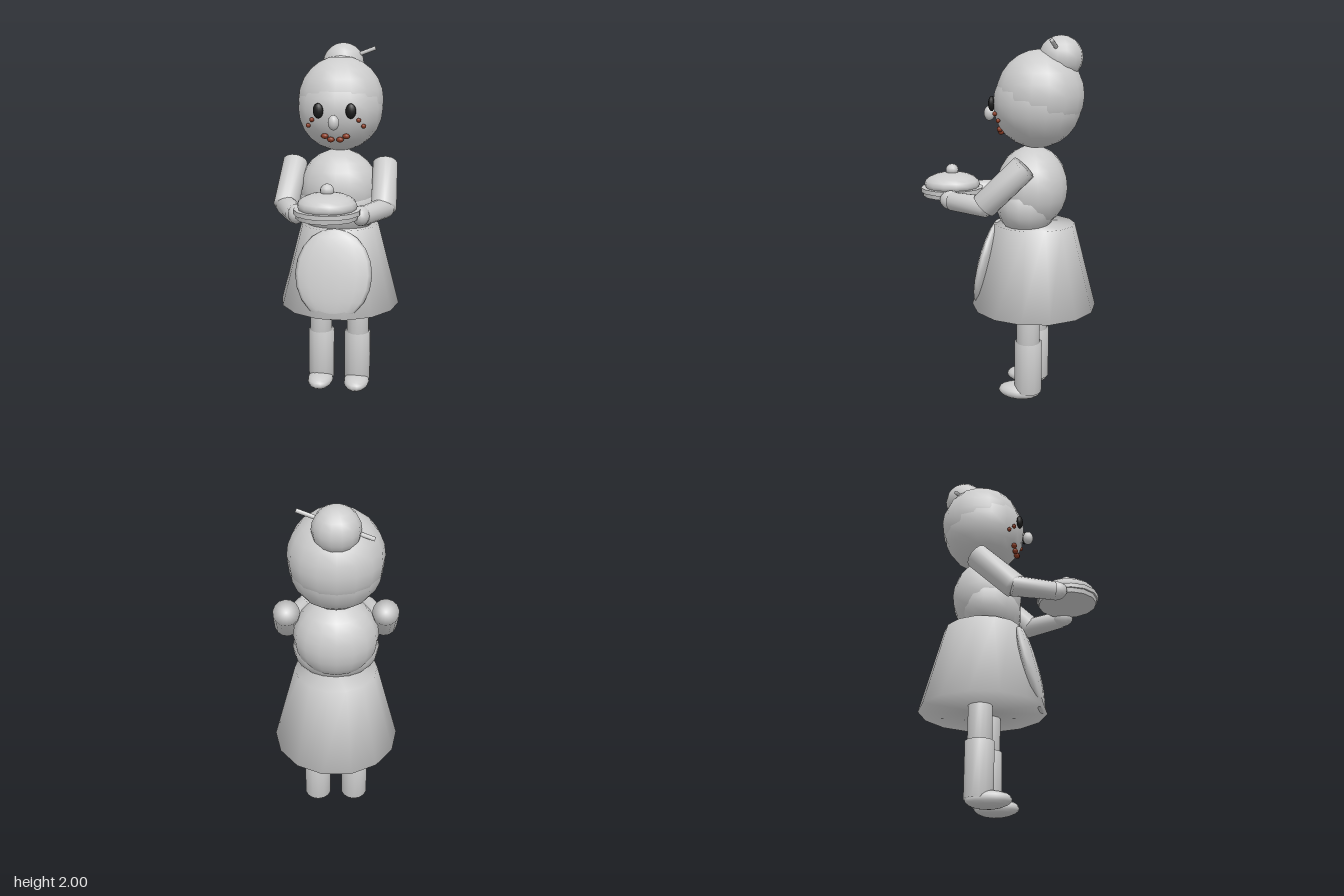
import * as THREE from 'three';
import { mergeVertices } from 'three/addons/utils/BufferGeometryUtils.js';

const material = (name, color) => {
  const m = new THREE.MeshStandardMaterial({ color });
  m.name = name;
  return m;
};

export function createModel() {
  const model = new THREE.Group();
  model.name = 'cookFigure';
  const clay = material('palegrey', 0xcccccc);
  const black = material('black', 0x1a1a1a);
  const brown = material('redBrown', 0x8a3a22);

  const add = (name, geometry, mat, position, parent = model) => {
    const mesh = new THREE.Mesh(geometry, mat);
    mesh.name = name;
    mesh.position.set(...position);
    parent.add(mesh);
    return mesh;
  };

  // Ellipsoid with the given radii
  const ball = (name, position, radii, mat = clay, w = 14, h = 10) => {
    const g = new THREE.SphereGeometry(1, w, h);
    g.scale(...radii);
    return add(name, g, mat, position);
  };

  // Capped cylinder whose shading runs softly over the rims
  const softCylinder = (rTop, rBottom, height, sides = 14) => {
    const g = new THREE.CylinderGeometry(rTop, rBottom, height, sides);
    g.deleteAttribute('uv');
    g.deleteAttribute('normal');
    const merged = mergeVertices(g);
    merged.computeVertexNormals();
    return merged;
  };

  // Cylinder running between two points
  const rod = (name, from, to, rFrom, rTo = rFrom, sides = 14) => {
    const a = new THREE.Vector3(...from), b = new THREE.Vector3(...to);
    const dir = b.clone().sub(a);
    const mid = a.clone().add(b).multiplyScalar(0.5);
    const mesh = add(name, softCylinder(rTo, rFrom, dir.length(), sides), clay, mid.toArray());
    mesh.quaternion.setFromUnitVectors(new THREE.Vector3(0, 1, 0), dir.normalize());
    return mesh;
  };

  // Head, hair cap, bun and hair stick
  ball('head', [0, 1.65, -0.165], [0.237, 0.237, 0.237], clay, 16, 12);
  ball('hair', [0, 1.692, -0.18], [0.239, 0.238, 0.236], clay, 16, 12);
  ball('hairBun', [0, 1.885, -0.287], [0.117, 0.115, 0.117]);
  rod('hairStick', [-0.175, 1.84, -0.302], [0.183, 1.97, -0.27], 0.011, 0.011, 8);

  // Face
  ball('nose', [0, 1.592, 0.097], [0.03, 0.04, 0.03]);
  for (const s of [1, -1]) {
    ball('eye', [s * 0.087, 1.65, 0.062], [0.028, 0.04, 0.018], black);
    ball('freckle', [s * 0.126, 1.6, 0.036], [0.013, 0.012, 0.012], brown, 8, 6);
    ball('freckle', [s * 0.15, 1.567, 0.012], [0.013, 0.012, 0.012], brown, 8, 6);
    ball('mouthBead', [s * 0.058, 1.513, 0.025], [0.02, 0.015, 0.016], brown, 10, 8);
    ball('mouthBead', [s * 0.025, 1.495, 0.026], [0.02, 0.015, 0.016], brown, 10, 8);
  }

  // Torso, skirt and apron
  ball('chest', [0, 1.2, -0.14], [0.225, 0.225, 0.195], clay, 16, 12);
  ball('belly', [0, 1.11, -0.115], [0.23, 0.18, 0.165], clay, 16, 12);
  const skirt = add('skirt', softCylinder(0.222, 0.345, 0.47), clay, [0, 0.765, -0.155]);
  skirt.rotation.y = Math.PI / 14;
  const apron = ball('apron', [0, 0.765, 0.103], [0.214, 0.252, 0.045]);
  apron.rotation.x = -0.23;

  // Legs and arms, mirrored
  for (const s of [1, -1]) {
    rod('leg', [s * 0.11, 0.3, -0.146], [s * 0.11, 0.58, -0.146], 0.065);
    rod('boot', [s * 0.108, 0.05, -0.147], [s * 0.108, 0.342, -0.147], 0.077);
    ball('shoe', [s * 0.108, 0.046, -0.098], [0.075, 0.046, 0.12]);
    rod('upperArm', [s * 0.255, 1.344, -0.148], [s * 0.267, 1.137, 0.06], 0.07);
    rod('forearm', [s * 0.272, 1.135, 0.045], [s * 0.178, 1.135, 0.26], 0.056, 0.05);
    ball('hand', [s * 0.168, 1.138, 0.268], [0.045, 0.052, 0.062]);
  }

  // Covered serving dish
  add('plateBase', new THREE.CylinderGeometry(0.165, 0.16, 0.03, 14), clay, [0, 1.147, 0.314]);
  add('plateRim', new THREE.CylinderGeometry(0.173, 0.173, 0.024, 14), clay, [0, 1.168, 0.314]);
  ball('dishCover', [0, 1.198, 0.314], [0.155, 0.066, 0.155]);
  ball('coverKnob', [0, 1.275, 0.313], [0.036, 0.034, 0.036], clay, 12, 8);

  return model;
}
